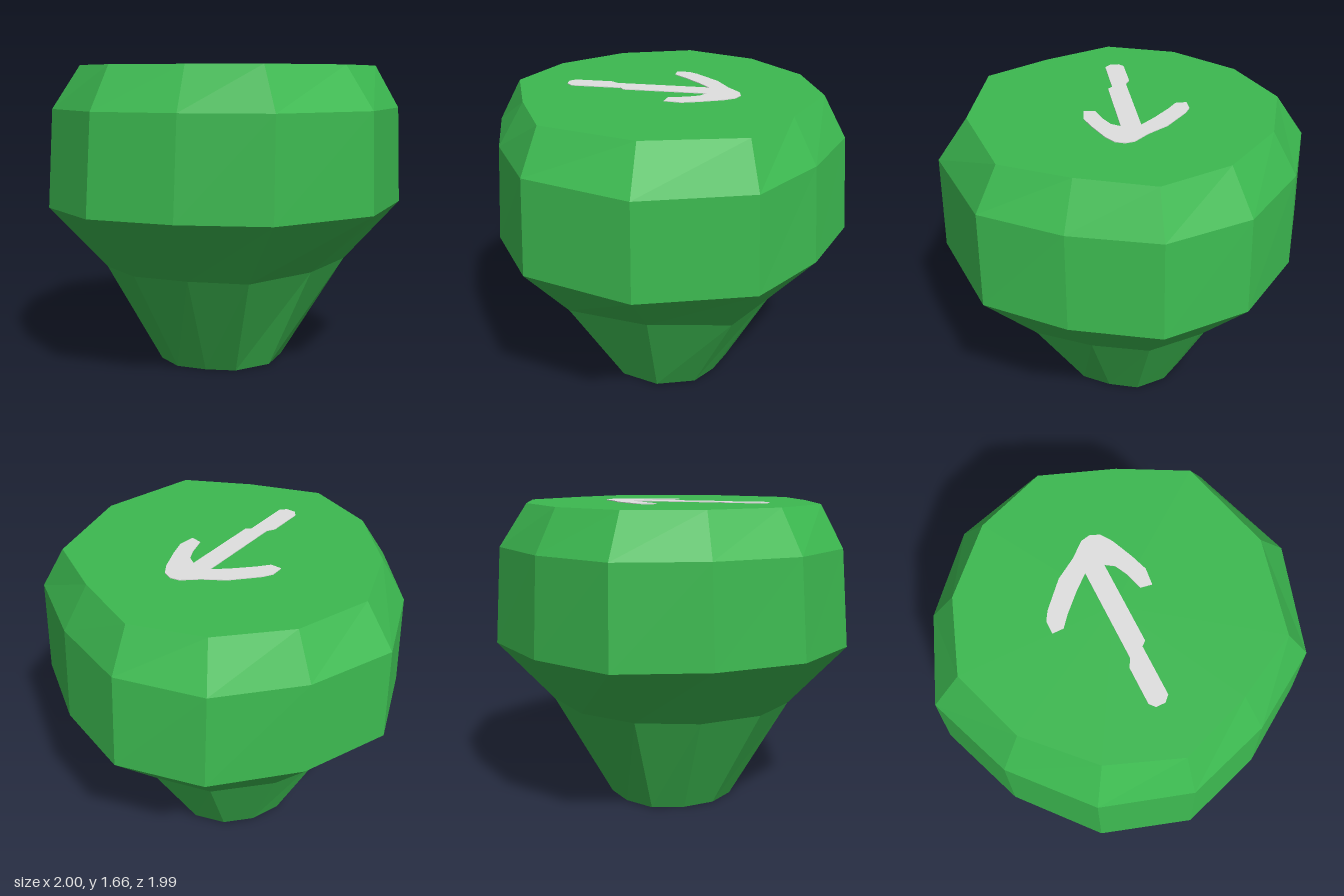
import * as THREE from 'three';

// Half outlines (x, z) of the twelve-sided rings, from +x round the front to -x
const RINGS = [
  { y: 0, pts: [[0.35, 0], [0.28, 0.21], [0.14, 0.3], [-0.02, 0.355], [-0.19, 0.3], [-0.31, 0.17], [-0.37, 0]] },
  { y: 0.565, pts: [[0.625, 0], [0.55, 0.44], [0.27, 0.59], [-0.025, 0.68], [-0.32, 0.59], [-0.56, 0.33], [-0.645, 0]] },
  { y: 0.905, pts: [[1, 0], [0.815, 0.59], [0.415, 0.85], [-0.035, 0.995], [-0.49, 0.85], [-0.82, 0.47], [-1, 0]] },
  { y: 1.43, pts: [[0.985, 0], [0.805, 0.57], [0.41, 0.815], [-0.035, 0.955], [-0.485, 0.815], [-0.81, 0.45], [-0.985, 0]] },
  { y: 1.66, pts: [[0.82, 0], [0.69, 0.51], [0.35, 0.69], [-0.03, 0.83], [-0.4, 0.69], [-0.69, 0.39], [-0.825, 0]] },
];

// Mirror a half outline into a full ring of points
function fullRing({ y, pts }) {
  const back = pts.slice(1, -1).reverse().map(([x, z]) => [x, -z]);
  return [...pts, ...back].map(([x, z]) => [x, y, z]);
}

// Skin a stack of rings, with optional flat caps
function loft(rings, capBottom, capTop) {
  const pos = [];
  const tri = (...corners) => corners.forEach((c) => pos.push(...c));
  const n = rings[0].length;
  const last = rings[rings.length - 1];
  for (let i = 0; i < n; i++) {
    const j = (i + 1) % n;
    for (let r = 0; r < rings.length - 1; r++) {
      const lo = rings[r], hi = rings[r + 1];
      tri(lo[i], hi[i], lo[j]);
      tri(lo[j], hi[i], hi[j]);
    }
    if (capBottom) tri([0, rings[0][0][1], 0], rings[0][i], rings[0][j]);
    if (capTop) tri([0, last[0][1], 0], last[j], last[i]);
  }
  const geo = new THREE.BufferGeometry();
  geo.setAttribute('position', new THREE.Float32BufferAttribute(pos, 3));
  geo.computeVertexNormals();
  return geo;
}

export function createModel() {
  const group = new THREE.Group();
  group.name = 'knob';
  const green = new THREE.MeshStandardMaterial({ name: 'green', color: 0x3cb950, flatShading: true });
  const lightGrey = new THREE.MeshStandardMaterial({ name: 'light grey', color: 0xe0e0e0 });
  const add = (name, geo, mat) => {
    const mesh = new THREE.Mesh(geo, mat);
    mesh.name = name;
    group.add(mesh);
    return mesh;
  };

  // Tapered stem and wide bevelled head
  const rings = RINGS.map(fullRing);
  add('stem', loft(rings.slice(0, 3), true, false), green);
  add('head', loft(rings.slice(2), false, true), green);

  // Hand-drawn arrow on the top face, as (x, z) outline
  const outline = [
    [-0.075, 0.52], [-0.05, 0.55], [0, 0.55], [0.03, 0.52], [0.03, 0.25], [0.055, 0.23], [0.055, -0.22],
    [0.1, -0.19], [0.13, -0.13], [0.16, -0.03], [0.22, -0.02], [0.23, -0.11], [0.2, -0.2], [0.15, -0.32],
    [0.11, -0.38], [0.06, -0.4], [0.01, -0.39], [-0.07, -0.32], [-0.18, -0.25], [-0.3, -0.12],
    [-0.33, -0.07], [-0.33, 0], [-0.27, 0], [-0.22, -0.06], [-0.13, -0.15], [-0.05, -0.22],
    [-0.05, 0.28], [-0.075, 0.32],
  ];
  const shape = new THREE.Shape(outline.map(([x, z]) => new THREE.Vector2(x, -z)));
  const arrowGeo = new THREE.ExtrudeGeometry(shape, { depth: 0.005, bevelEnabled: false });
  const arrow = add('arrow', arrowGeo, lightGrey);
  arrow.rotation.x = -Math.PI / 2;
  arrow.position.y = 1.659;

  return group;
}
